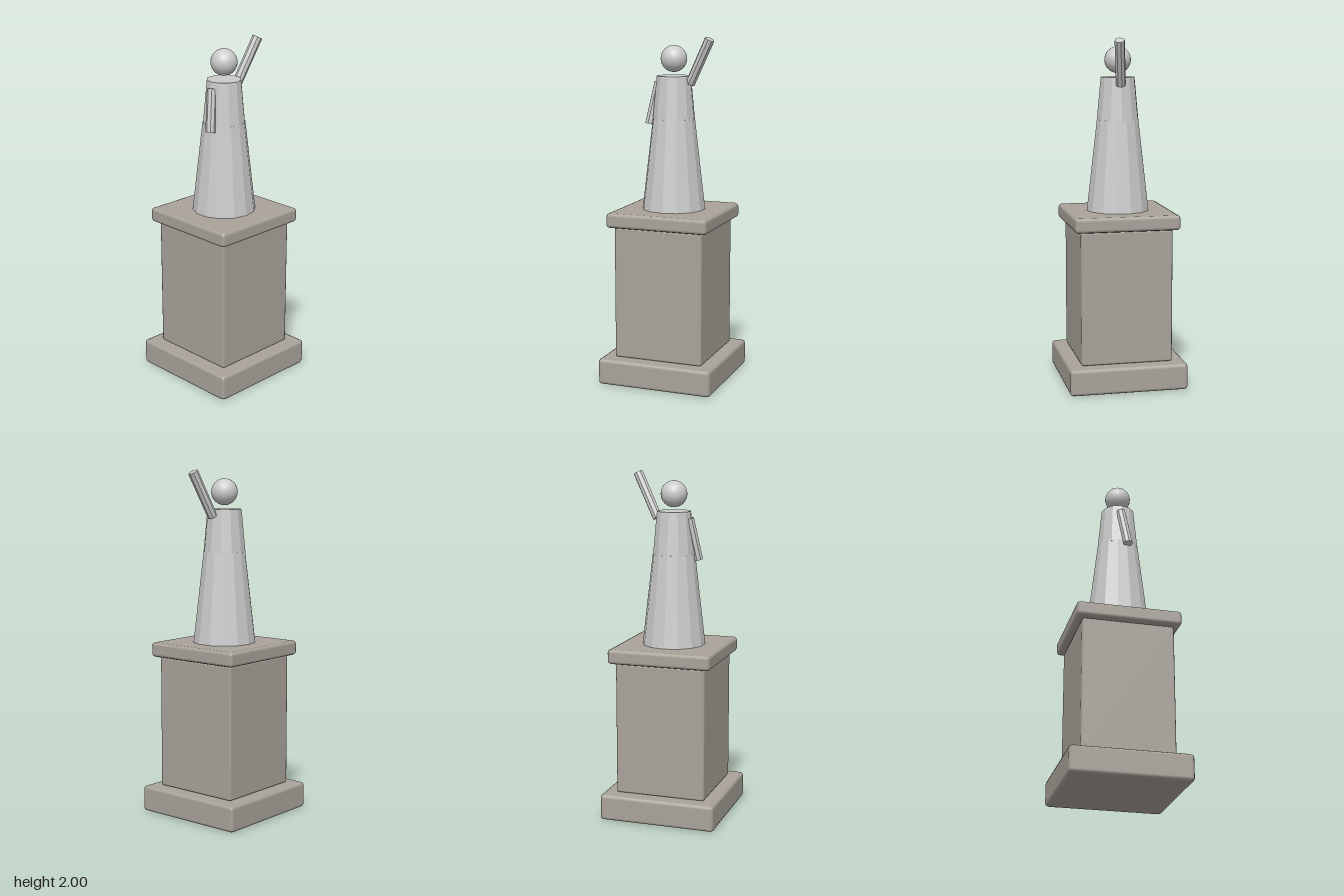
import * as THREE from 'three';
import { RoundedBoxGeometry } from 'three/addons/geometries/RoundedBoxGeometry.js';

export function createModel() {
  const model = new THREE.Group();
  const stone = new THREE.MeshStandardMaterial({ color: 0xa9a39a });
  const marble = new THREE.MeshStandardMaterial({ color: 0xcccccc, flatShading: true });
  const smoothMarble = new THREE.MeshStandardMaterial({ color: 0xcccccc });

  const add = (parent, name, geometry, material) => {
    const mesh = new THREE.Mesh(geometry, material);
    mesh.name = name;
    parent.add(mesh);
    return mesh;
  };

  // Square block with softened edges, standing between two heights
  const block = (parent, name, width, y0, y1, radius) => {
    const geometry = new RoundedBoxGeometry(width, y1 - y0, width, 1, radius);
    add(parent, name, geometry, stone).position.y = (y0 + y1) / 2;
  };

  // Faceted tapered tube between two points
  const limb = (parent, name, from, to, rFrom, rTo, sides) => {
    const a = new THREE.Vector3(...from);
    const b = new THREE.Vector3(...to);
    const dir = b.clone().sub(a);
    const mesh = add(parent, name, new THREE.CylinderGeometry(rTo, rFrom, dir.length(), sides), marble);
    mesh.position.copy(a).lerp(b, 0.5);
    mesh.quaternion.setFromUnitVectors(new THREE.Vector3(0, 1, 0), dir.normalize());
  };

  // Pedestal
  const pedestal = new THREE.Group();
  pedestal.name = 'pedestal';
  block(pedestal, 'plinth', 0.684, 0, 0.152, 0.02);
  block(pedestal, 'shaft', 0.53, 0.152, 0.922, 0.013);
  block(pedestal, 'cap', 0.606, 0.922, 1.007, 0.02);
  model.add(pedestal);

  // Robed figure
  const statue = new THREE.Group();
  statue.name = 'statue';
  limb(statue, 'skirt', [0, 1.005, 0], [0, 1.53, 0], 0.183, 0.122, 14);
  limb(statue, 'torso', [0, 1.52, 0], [0, 1.774, 0], 0.123, 0.099, 12);
  add(statue, 'head', new THREE.SphereGeometry(0.076, 24, 16), smoothMarble).position.y = 1.871;

  // Left arm raised, right arm hanging
  limb(statue, 'raisedArm', [0.1, 1.732, 0.003], [0.228, 1.984, 0.037], 0.028, 0.029, 8);
  limb(statue, 'loweredArm', [-0.137, 1.497, 0.031], [-0.092, 1.735, -0.002], 0.028, 0.028, 8);
  model.add(statue);

  return model;
}
